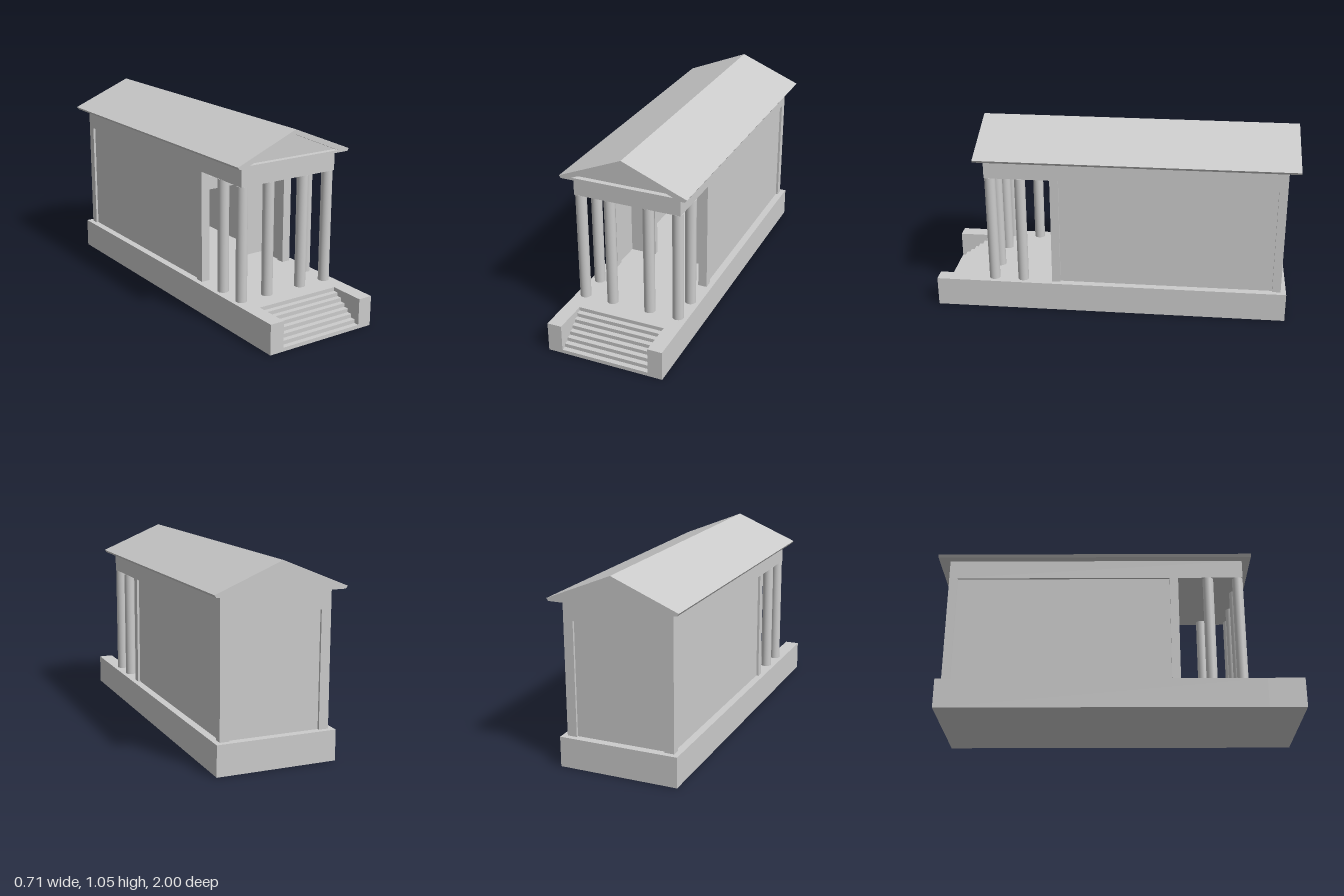
import * as THREE from 'three';

const material = new THREE.MeshStandardMaterial({ color: 0xcccccc });

export function createModel() {
  const model = new THREE.Group();
  model.name = 'temple';

  function add(name, geometry, x = 0, y = 0, z = 0) {
    const mesh = new THREE.Mesh(geometry, material);
    mesh.name = name;
    mesh.position.set(x, y, z);
    model.add(mesh);
    return mesh;
  }

  // Box given by its extents along each axis
  function block(name, [x0, x1], [y0, y1], [z0, z1]) {
    return add(name, new THREE.BoxGeometry(x1 - x0, y1 - y0, z1 - z0),
      (x0 + x1) / 2, (y0 + y1) / 2, (z0 + z1) / 2);
  }

  // Same box on both sides of the centre line
  function pair(name, [x0, x1], ys, zs) {
    block(name + 'Left', [x0, x1], ys, zs);
    block(name + 'Right', [-x1, -x0], ys, zs);
  }

  const floorY = 0.165, beamY = 0.785, roofY = 0.893;
  const wallY = [floorY, beamY];

  // Podium with cheek walls around the stair
  const stairBack = 0.8, stairHalf = 0.247;
  block('podium', [-0.328, 0.328], [0, floorY], [-0.97, stairBack]);
  pair('stairCheek', [stairHalf, 0.328], [0, floorY], [stairBack, 1]);

  // Stair: eight risers, the last one landing on the podium
  const risers = 8, treads = risers - 1;
  for (let i = 0; i < treads; i++) {
    const front = 1 - (i * (1 - stairBack)) / treads;
    block('step' + (i + 1), [-stairHalf, stairHalf],
      [(i * floorY) / risers, ((i + 1) * floorY) / risers], [stairBack, front]);
  }

  // Porch columns: four in front, one behind each corner
  const columnGeometry = new THREE.CylinderGeometry(0.03, 0.03, beamY - floorY, 32);
  const columns = [[0.275, 0.675], [0.11, 0.675], [0.275, 0.51]];
  for (const side of [-1, 1]) {
    for (const [x, z] of columns) add('column', columnGeometry, side * x, (floorY + beamY) / 2, z);
  }

  // Hall: corner pilasters with recessed walls between them
  pair('frontPilaster', [0.25, 0.3], wallY, [0.295, 0.342]);
  pair('backPilaster', [0.247, 0.3], wallY, [-0.94, -0.893]);
  pair('sideWall', [0.26, 0.287], wallY, [-0.9, 0.3]);
  block('backWall', [-0.26, 0.26], wallY, [-0.927, -0.9]);

  // Entrance wall with an open doorway and a cornice above it
  const wallZ = [0.1, 0.13], doorHalf = 0.11, doorTop = 0.605;
  pair('entranceWall', [doorHalf, 0.26], wallY, wallZ);
  block('wallAboveDoor', [-doorHalf, doorHalf], [doorTop, beamY], wallZ);
  block('doorCornice', [-0.163, 0.163], [0.66, 0.687], [0.13, 0.155]);

  // Entablature
  block('entablature', [-0.3, 0.3], [beamY, roofY], [-0.94, 0.703]);

  // Gable roof: solid body plus a front frame around the recessed pediment
  const gable = () => new THREE.Shape([
    new THREE.Vector2(-0.345, roofY), new THREE.Vector2(0.345, roofY),
    new THREE.Vector2(0.355, 0.907), new THREE.Vector2(0, 1.053),
    new THREE.Vector2(-0.355, 0.907),
  ]);
  const extrude = (shape, depth) =>
    new THREE.ExtrudeGeometry(shape, { depth, bevelEnabled: false });
  const recess = 0.03;
  add('roof', extrude(gable(), 1.75 - recess), 0, 0, -1);

  const frame = gable();
  frame.holes.push(new THREE.Path([
    new THREE.Vector2(-0.283, 0.906), new THREE.Vector2(0, 1.026),
    new THREE.Vector2(0.283, 0.906),
  ]));
  add('pedimentFrame', extrude(frame, recess), 0, 0, 0.75 - recess);

  return model;
}
